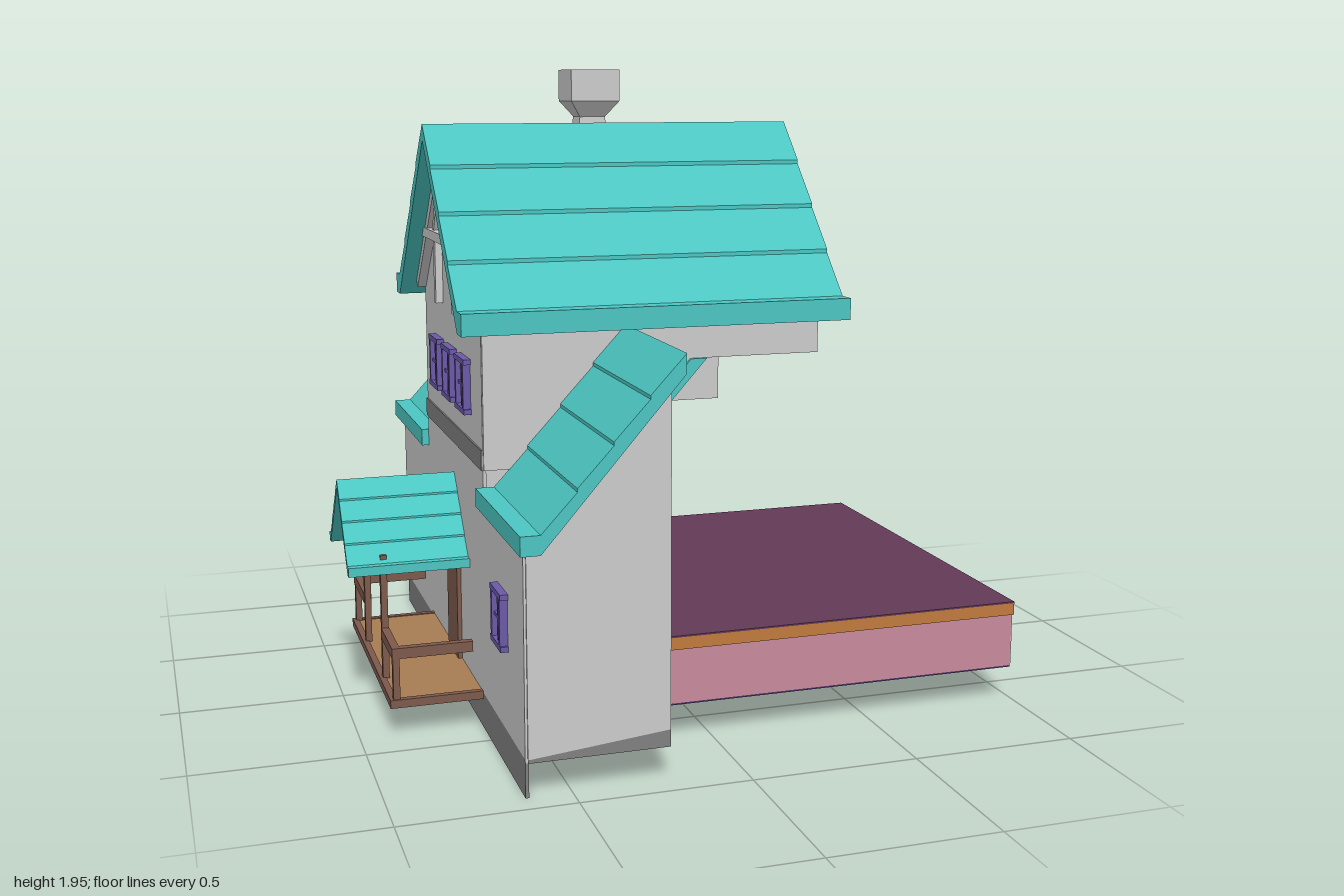
import * as THREE from 'three';

const mat = (color) => new THREE.MeshStandardMaterial({ color, side: THREE.DoubleSide });
const GREY = mat(0xcccccc), DARK = mat(0x808080), TEAL = mat(0x4cc6c2), BROWN = mat(0x7d5a4c),
  DECK = mat(0xa67c52), VIOLET = mat(0x6b5aa8), GLASS = mat(0x8cc5ad), PLUM = mat(0x633a56),
  PINK = mat(0xc88a9c), ORANGE = mat(0xc07a3c), RED = mat(0xb82f35), INDIGO = mat(0x46305f);

export function createModel() {
  const model = new THREE.Group();

  const add = (name, geo, material) => {
    const m = new THREE.Mesh(geo, material);
    m.name = name;
    model.add(m);
    return m;
  };
  // Box given by its minimum and maximum on each axis
  const box = (name, material, x0, x1, y0, y1, z0, z1) => {
    const m = add(name, new THREE.BoxGeometry(x1 - x0, y1 - y0, z1 - z0), material);
    m.position.set((x0 + x1) / 2, (y0 + y1) / 2, (z0 + z1) / 2);
    return m;
  };
  const shape = (pts) => new THREE.Shape(pts.map(([a, b]) => new THREE.Vector2(a, b)));
  // Outline in (z, y), extruded along x
  const extrudeX = (name, material, pts, x0, x1) => {
    const g = new THREE.ExtrudeGeometry(shape(pts), { depth: x1 - x0, bevelEnabled: false });
    g.rotateY(-Math.PI / 2).translate(x1, 0, 0);
    return add(name, g, material);
  };
  // Outline in (x, y), extruded along z
  const extrudeZ = (name, material, pts, z0, z1) => {
    const g = new THREE.ExtrudeGeometry(shape(pts), { depth: z1 - z0, bevelEnabled: false });
    g.translate(0, 0, z0);
    return add(name, g, material);
  };
  // Stepped shingle courses from a to b, both [horizontal, y]
  const courses = (a, b, n, lip) => {
    const pts = [];
    for (let i = 0; i < n; i++) {
      const at = (t) => [a[0] + (b[0] - a[0]) * t, a[1] + (b[1] - a[1]) * t];
      const s = at(i / n);
      pts.push([s[0], s[1] + lip], at((i + 1) / n));
    }
    return pts;
  };
  const mirror = (pts) => pts.map(([a, b]) => [-a, b]).reverse();
  const gableRoof = (name, tip, lipIn, y0, y1, ridge, thick, n, lip, x0, x1) => {
    const outer = [[tip, y0], [tip, y1], [lipIn, y1], ...courses([lipIn, y1 - lip], [0, ridge], n, lip)];
    const outline = [...outer, ...mirror(outer).slice(1), [-lipIn, y0], [0, ridge - thick], [lipIn, y0]];
    return extrudeX(name, TEAL, outline, x0, x1);
  };
  // Slanted bar between two (z, y) points
  const barX = (name, material, a, b, w, x0, x1) => {
    const len = Math.hypot(b[0] - a[0], b[1] - a[1]);
    const m = add(name, new THREE.BoxGeometry(x1 - x0, w, len), material);
    m.position.set((x0 + x1) / 2, (a[1] + b[1]) / 2, (a[0] + b[0]) / 2);
    m.rotation.x = -Math.atan2(b[1] - a[1], b[0] - a[0]);
  };

  // Street wall with gable, and its darker bands
  const wallHalf = [[0.93, 0.1], [0.93, 0.7], [0.44, 0.7], [0.44, 1.27], [0, 1.74]];
  extrudeX('facade', GREY, [...wallHalf, ...mirror(wallHalf).slice(1)], -0.632, -0.622);
  box('facadeBase', DARK, -0.632, -0.622, 0, 0.11, -0.93, 0.93);
  box('facadeBand', DARK, -0.637, -0.617, 0.8, 0.86, -0.44, 0.44);

  // Upper storey side walls, one cut away over the room
  extrudeZ('upperWallRight', GREY, [[-0.63, 0.8], [0.41, 0.8], [0.41, 1.24], [-0.63, 1.24]], -0.445, -0.435);
  extrudeZ('upperWallLeft', GREY,
    [[-0.63, 0.8], [-0.22, 0.8], [0.04, 1.1], [0.41, 1.1], [0.41, 1.24], [-0.63, 1.24]], 0.435, 0.445);
  extrudeZ('wallTrim', TEAL, [[-0.22, 0.8], [-0.22, 0.85], [0, 1.1], [0.05, 1.1]], 0.435, 0.455);

  // Main roof
  gableRoof('mainRoof', 0.55, 0.49, 1.21, 1.275, 1.785, 0.05, 4, 0.012, -0.71, 0.47);

  // Gable timbers
  box('tieBeam', GREY, 0.37, 0.4, 1.42, 1.445, -0.29, 0.28);
  box('gableBeam', GREY, -0.665, -0.632, 1.42, 1.45, -0.3, 0.3);
  for (const s of [-1, 1]) {
    barX('gableRafter', GREY, [s * 0.44, 1.25], [0, 1.71], 0.035, -0.66, -0.632);
    barX('gableStrut', GREY, [s * 0.14, 1.22], [s * 0.14, 1.43], 0.03, -0.655, -0.632);
    barX('gableBrace', GREY, [s * 0.16, 1.44], [s * 0.06, 1.62], 0.025, -0.655, -0.632);
  }
  const ring = add('roundWindowFrame', new THREE.TorusGeometry(0.05, 0.012, 6, 16), VIOLET);
  ring.position.set(-0.645, 1.55, 0);
  ring.rotation.y = Math.PI / 2;
  const pane = add('roundWindowPane', new THREE.CircleGeometry(0.05, 16), GLASS);
  pane.position.set(-0.638, 1.55, 0);
  pane.rotation.y = -Math.PI / 2;

  // Chimney: hollow four-sided stack
  const stack = [[0.08, 1.4], [0.042, 1.8], [0.08, 1.85], [0.08, 1.95], [0.055, 1.95], [0.055, 1.85], [0, 1.84]];
  const stackGeo = new THREE.LatheGeometry(stack.map(([r, y]) => new THREE.Vector2(r * Math.SQRT2, y)), 4, Math.PI / 4)
    .toNonIndexed();
  stackGeo.computeVertexNormals();
  add('chimney', stackGeo, GREY).position.set(-0.12, 0, -0.23);

  // Side wings: lean-to roof, end wall and window
  for (const s of [-1, 1]) {
    const span = (a, b) => (s > 0 ? [a, b] : [-b, -a]);
    extrudeZ('wingRoof', TEAL, [[-0.655, 0.695], [-0.655, 0.75], [-0.6, 0.75],
      ...courses([-0.6, 0.74], [-0.2, 1.21], 4, 0.01), [-0.2, 1.155], [-0.6, 0.695]], ...span(0.44, 1));
    extrudeZ('wingWall', GREY, [[-0.625, 0.11], [-0.22, 0.15], [-0.22, 1.15], [-0.625, 0.7]], ...span(0.925, 0.935));
    extrudeZ('wingWallBase', DARK, [[-0.625, 0.1], [-0.22, 0.1], [-0.22, 0.15], [-0.625, 0.11]], ...span(0.925, 0.935));
  }

  // Windows: pane, frame and glazing bars
  const addWindow = (z, y, w, h, through) => {
    box('windowPane', GLASS, -0.64, through ? -0.615 : -0.634, y - h / 2, y + h / 2, z - w / 2, z + w / 2);
    const t = 0.016;
    for (const s of [-1, 1]) {
      box('windowJamb', VIOLET, -0.655, through ? -0.61 : -0.632, y - h / 2, y + h / 2,
        z + s * w / 2 - t / 2, z + s * w / 2 + t / 2);
      box('windowSill', VIOLET, -0.655, -0.632, y + s * h / 2 - t / 2, y + s * h / 2 + t / 2, z - w / 2 - t, z + w / 2 + t);
    }
    box('glazingBar', VIOLET, -0.648, -0.632, y - h / 2, y + h / 2, z - 0.005, z + 0.005);
    box('glazingBar', VIOLET, -0.648, -0.632, y - 0.005, y + 0.005, z - w / 2, z + w / 2);
  };
  for (const z of [-0.2, 0.01, 0.22]) addWindow(z, 1.02, 0.11, 0.15, z === 0.01);
  for (const z of [-0.655, 0.68]) addWindow(z, 0.435, 0.1, 0.15, false);

  // Porch: deck, posts, rails, roof and door
  box('porchDeck', DECK, -0.9, -0.63, 0.095, 0.112, -0.41, 0.385);
  box('deckEdge', BROWN, -0.91, -0.89, 0.09, 0.115, -0.42, 0.395);
  for (const z of [-0.41, 0.385]) box('deckEdge', BROWN, -0.91, -0.63, 0.09, 0.115, z - 0.01, z + 0.01);
  for (const s of [-1, 1]) {
    const zo = s > 0 ? 0.38 : -0.405, zi = s * 0.18;
    box('porchPost', BROWN, -0.9, -0.88, 0.11, 0.5, zi - 0.011, zi + 0.011);
    box('railPost', BROWN, -0.9, -0.88, 0.11, 0.27, zo - 0.011, zo + 0.011);
    box('frontRail', BROWN, -0.902, -0.878, 0.24, 0.272, Math.min(zi, zo), Math.max(zi, zo));
    box('sideRail', BROWN, -0.902, -0.66, 0.24, 0.272, zo - 0.012, zo + 0.012);
    box('porchBeam', BROWN, -0.9, -0.63, 0.44, 0.465, zi - 0.011, zi + 0.011);
  }
  gableRoof('porchRoof', 0.225, 0.2, 0.45, 0.478, 0.7, 0.025, 4, 0.006, -1, -0.63);
  box('frontDoor', BROWN, -0.645, -0.632, 0.11, 0.42, -0.08, 0.08);

  // Ground floor room with flat top and end doors
  box('roomWalls', PINK, -0.61, 0.985, 0.115, 0.28, -0.635, 0.665);
  box('roomEndWall', GREY, 0.98, 0.988, 0.12, 0.28, -0.634, 0.664);
  box('roomTrim', ORANGE, -0.61, 0.99, 0.28, 0.317, -0.64, 0.67);
  box('roomTop', PLUM, -0.61, 0.99, 0.317, 0.322, -0.64, 0.67);
  box('roomUnderside', INDIGO, -0.61, 0.985, 0.11, 0.115, -0.635, 0.665);
  for (const z of [0.455, 0.018, -0.415]) box('roomDoor', RED, 0.98, 0.991, 0.115, 0.28, z - 0.046, z + 0.046);

  return model;
}
